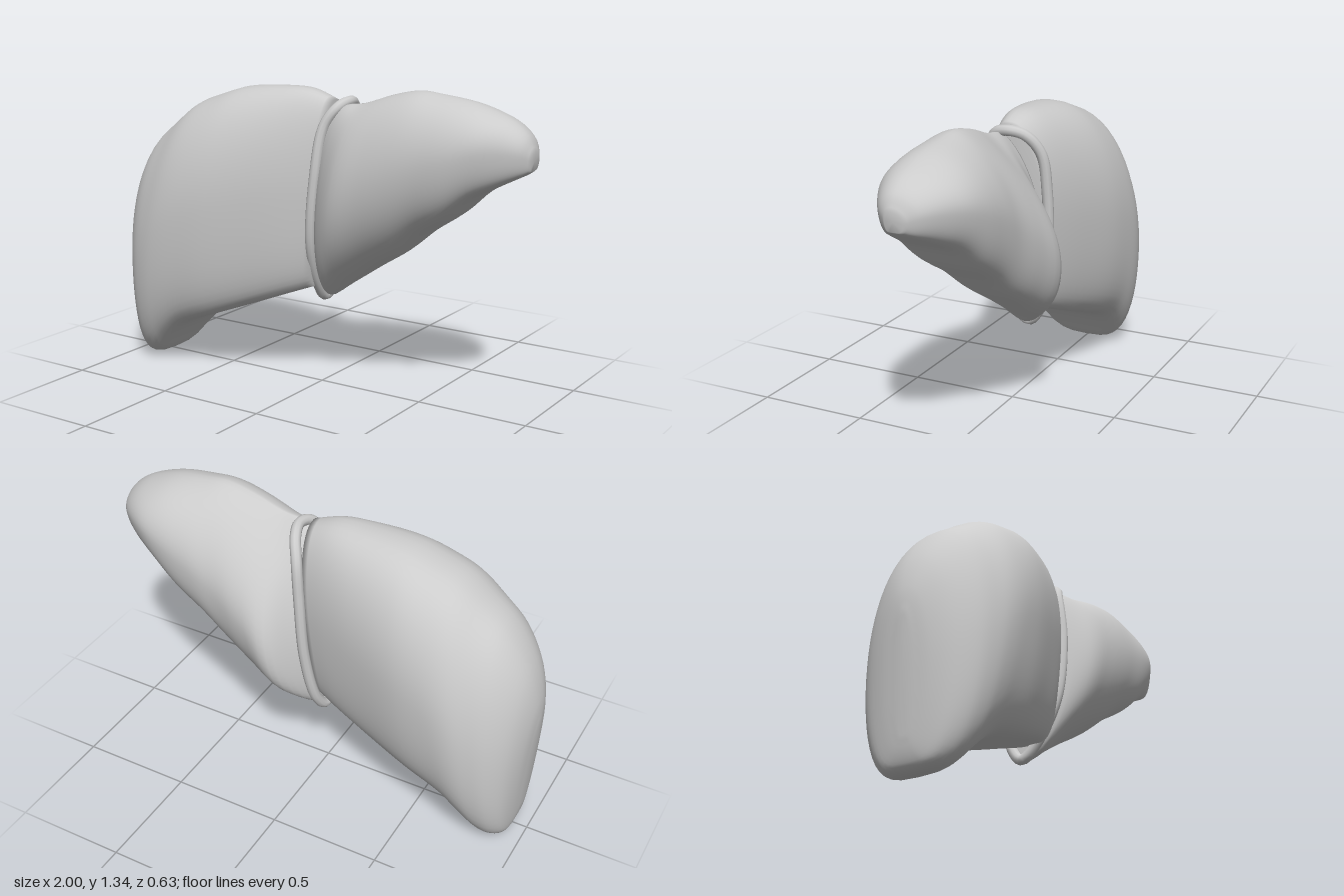
import * as THREE from 'three';

const material = new THREE.MeshStandardMaterial({ color: 0xcccccc, side: THREE.DoubleSide });
const SIDES = 56;

// One point of a closed cross-section: a = 0 top, PI/2 front, PI bottom, 3PI/2 back.
// A low fullness exponent gives a broad, flat underside; a high one a sharp keel.
function sectionPoint([tx, ty, bx, by, zf, zb, zBottom, fullFront, fullBack, skewBack], a, topPower, skewFront) {
  const s = Math.sin(a);
  const front = s >= 0;
  const h = (1 - Math.cos(a)) / 2;
  const t = Math.pow(h, front ? skewFront : skewBack);
  const fullness = front ? fullFront : fullBack;
  const width = Math.pow(Math.abs(s), h < 0.5 ? topPower : fullness);
  // the spine of the section leans from z = 0 at the top to zBottom
  const z = width * (front ? zf : zb) + zBottom * t * (1 - width);
  return new THREE.Vector3(tx + (bx - tx) * t, ty + (by - ty) * t, z);
}

// Smooth lobe lofted through tilted cross-sections, closed at both ends.
function makeLobe(name, stations, topPower, skewFront) {
  const steps = (stations.length - 1) * 4;
  const columns = [];
  for (let j = 0; j < SIDES; j++) {
    const a = (j / SIDES) * Math.PI * 2;
    const pts = stations.map((s) => sectionPoint(s, a, topPower, skewFront));
    columns.push(new THREE.CatmullRomCurve3(pts).getPoints(steps));
  }
  const positions = [];
  const index = [];
  for (let i = 0; i <= steps; i++) {
    for (let j = 0; j < SIDES; j++) positions.push(...columns[j][i].toArray());
  }
  for (let i = 0; i < steps; i++) {
    for (let j = 0; j < SIDES; j++) {
      const k = (j + 1) % SIDES;
      const a = i * SIDES + j, b = i * SIDES + k;
      index.push(a, b, a + SIDES, b, b + SIDES, a + SIDES);
    }
  }
  // end caps
  for (const i of [0, steps]) {
    const centre = new THREE.Vector3();
    columns.forEach((c) => centre.addScaledVector(c[i], 1 / SIDES));
    const pole = positions.length / 3;
    positions.push(...centre.toArray());
    for (let j = 0; j < SIDES; j++) {
      const a = i * SIDES + j, b = i * SIDES + ((j + 1) % SIDES);
      if (i === 0) index.push(pole, b, a);
      else index.push(pole, a, b);
    }
  }
  const geometry = new THREE.BufferGeometry();
  geometry.setAttribute('position', new THREE.Float32BufferAttribute(positions, 3));
  geometry.setIndex(index);
  geometry.computeVertexNormals();
  const mesh = new THREE.Mesh(geometry, material);
  mesh.name = name;
  return mesh;
}

export function createModel() {
  const group = new THREE.Group();
  group.name = 'liver';

  // Each station: top x, top y, bottom x, bottom y, front z, back z, bottom z,
  // front fullness, back fullness, back skew
  group.add(makeLobe('rightLobe', [
    [-1.0, 0.62, -0.965, 0.14, 0.03, -0.03, 0, 0.5, 0.5, 1],
    [-0.99, 0.75, -0.95, 0.06, 0.115, -0.115, 0, 0.48, 0.48, 1],
    [-0.94, 0.91, -0.93, 0.02, 0.2, -0.2, 0, 0.5, 0.5, 1],
    [-0.84, 1.06, -0.89, 0.003, 0.268, -0.265, 0, 0.6, 0.6, 1],
    [-0.73, 1.15, -0.84, 0.02, 0.298, -0.295, 0, 0.6, 0.6, 1],
    [-0.62, 1.23, -0.77, 0.1, 0.31, -0.315, 0, 0.48, 0.5, 1],
    [-0.5, 1.275, -0.67, 0.195, 0.305, -0.315, 0, 0.36, 0.42, 1],
    [-0.38, 1.31, -0.5, 0.265, 0.28, -0.3, 0, 0.32, 0.4, 1],
    [-0.18, 1.325, -0.3, 0.34, 0.215, -0.25, -0.02, 0.3, 0.4, 1],
    [-0.05, 1.32, -0.13, 0.405, 0.155, -0.205, -0.04, 0.3, 0.45, 1],
    [0.07, 1.28, -0.02, 0.445, 0.1, -0.165, -0.05, 0.35, 0.55, 1],
  ], 0.87, 1));

  group.add(makeLobe('leftLobe', [
    [0.06, 1.23, -0.01, 0.41, 0.1, -0.16, -0.06, 1.2, 1.1, 0.8],
    [0.13, 1.262, 0.01, 0.39, 0.145, -0.2, -0.07, 1.2, 1.0, 0.7],
    [0.22, 1.275, 0.1, 0.45, 0.195, -0.3, -0.08, 1.2, 0.9, 0.62],
    [0.36, 1.32, 0.24, 0.545, 0.205, -0.285, -0.07, 1.1, 0.65, 0.7],
    [0.49, 1.345, 0.38, 0.635, 0.205, -0.26, -0.05, 1, 0.5, 0.8],
    [0.6, 1.335, 0.5, 0.735, 0.2, -0.255, -0.04, 0.8, 0.45, 0.9],
    [0.73, 1.315, 0.64, 0.83, 0.19, -0.245, -0.02, 0.6, 0.4, 1],
    [0.83, 1.285, 0.76, 0.935, 0.165, -0.22, 0, 0.45, 0.36, 1],
    [0.91, 1.25, 0.87, 0.995, 0.12, -0.17, 0, 0.38, 0.35, 1],
    [0.97, 1.2, 0.95, 1.035, 0.075, -0.11, 0, 0.38, 0.35, 1],
    [0.998, 1.14, 0.99, 1.06, 0.03, -0.05, 0, 0.4, 0.4, 1],
  ], 1.15, 1.12));

  // Cord looping round the seam between the lobes
  const loop = new THREE.CatmullRomCurve3([
    [0.115, 1.27, -0.04], [0.1, 1.25, 0.03], [0.055, 1.17, 0.07], [0.03, 0.95, 0.105],
    [0.0, 0.65, 0.09], [-0.02, 0.45, 0.0], [-0.025, 0.385, -0.07], [-0.01, 0.45, -0.13],
    [0.02, 0.7, -0.18], [0.04, 1.0, -0.185], [0.06, 1.17, -0.165], [0.095, 1.25, -0.11],
  ].map((p) => new THREE.Vector3(...p)), true);
  const cord = new THREE.Mesh(new THREE.TubeGeometry(loop, 120, 0.024, 10, true), material);
  cord.name = 'ligament';
  group.add(cord);

  return group;
}
